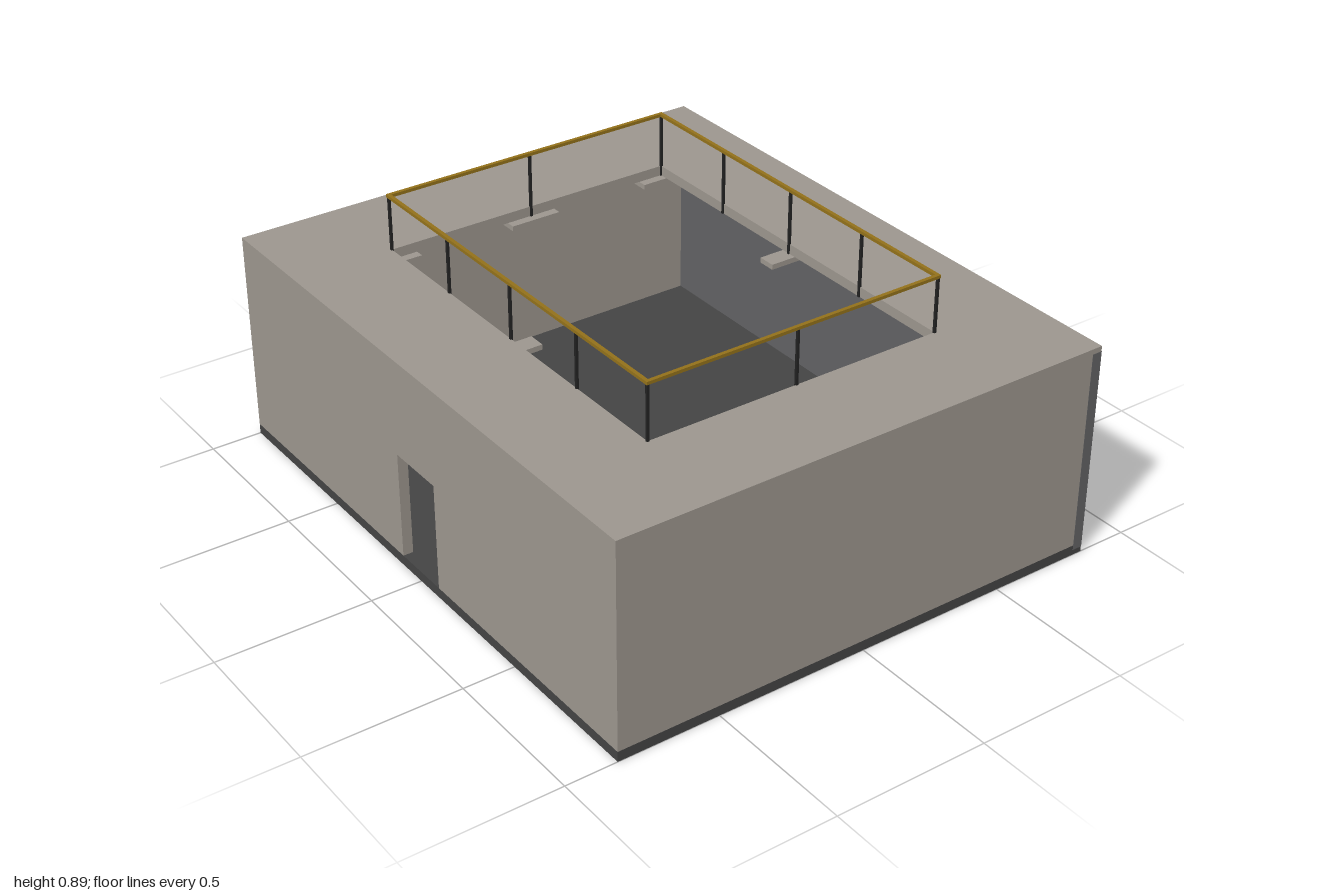
import * as THREE from 'three';

const mat = (name, color, side = THREE.FrontSide) =>
  Object.assign(new THREE.MeshStandardMaterial({ color, side }), { name });

export function createModel() {
  const wall = mat('warm concrete', 0x9c968e);
  const dark = mat('dark wall', 0x626264);
  const floor = mat('charcoal floor', 0x444444);
  const steel = mat('black steel', 0x222222);
  const brass = mat('brass', 0x93711a);

  const model = new THREE.Group();
  model.name = 'mezzanineRoom';

  // Box given by its minimum and maximum corners
  const box = (name, material, [x0, y0, z0], [x1, y1, z1], parent = model) => {
    const mesh = new THREE.Mesh(new THREE.BoxGeometry(x1 - x0, y1 - y0, z1 - z0), material);
    mesh.position.set((x0 + x1) / 2, (y0 + y1) / 2, (z0 + z1) / 2);
    mesh.name = name;
    parent.add(mesh);
    return mesh;
  };

  const X = 1, Z = 0.833, T = 0.033;      // outer half sizes, wall thickness
  const HX = 0.667, HZ = 0.5;             // half sizes of the opening
  const deckLow = 0.667, deckTop = 0.7;

  // Floor slab
  box('floorSlab', floor, [-X, 0, -Z], [X, T, Z]);

  // Front wall with a doorway
  const s = new THREE.Shape();
  [[-X, T], [-0.1, T], [-0.1, 0.383], [0.1, 0.383], [0.1, T], [X, T], [X, deckLow], [-X, deckLow]]
    .forEach(([x, y], i) => (i ? s.lineTo(x, y) : s.moveTo(x, y)));
  const front = new THREE.Mesh(new THREE.ExtrudeGeometry(s, { depth: T, bevelEnabled: false }), wall);
  front.position.z = Z - T;
  front.name = 'frontWall';
  model.add(front);

  // Back wall stands very slightly proud of the slabs
  const e = 0.0006;
  box('backWall', dark, [-X - e, 0.017, -Z - e], [X + e, 0.683, -Z + T]);

  // Side walls
  box('rightWall', wall, [-X, T, -Z + T], [-X + T, deckLow, Z - T]);
  box('leftWall', wall, [X - T, T, -Z + T], [X, deckLow, Z - T]);

  // Mezzanine deck around the opening
  const deck = new THREE.Group();
  deck.name = 'mezzanineDeck';
  model.add(deck);
  box('deckRight', wall, [-X, deckLow, -Z], [-HX, deckTop, Z], deck);
  box('deckLeft', wall, [HX, deckLow, -Z], [X, deckTop, Z], deck);
  box('deckBack', wall, [-HX, deckLow, -Z], [HX, deckTop, -HZ], deck);
  box('deckFront', wall, [-HX, deckLow, HZ], [HX, deckTop, Z], deck);

  // Thin plates under the edge of the deck
  for (const x of [-HX, 0, HX]) for (const z of [-HZ, 0, HZ]) {
    if (x === 0 && z === 0) continue;
    box('deckPlate', wall, [x - 0.029, 0.65, z - 0.086], [x + 0.029, deckLow, z + 0.086]);
  }

  // Railing: posts and top rails
  const railing = new THREE.Group();
  railing.name = 'railing';
  model.add(railing);
  const r = 0.004, railY = 0.876, railTop = 0.886;
  const post = (x, z) => box('railPost', steel, [x - r, deckTop - T, z - r], [x + r, railY, z + r], railing);
  for (const z of [-HZ, HZ]) {
    for (let i = -2; i <= 2; i++) post((i * HX) / 2, z);
    box('topRailLong', brass, [-HX - 0.006, railY, z - 0.006], [HX + 0.006, railTop, z + 0.006], railing);
  }
  for (const x of [-HX, HX]) {
    post(x, 0);
    box('topRailShort', brass, [x - 0.006, railY, -HZ + 0.006], [x + 0.006, railTop, HZ - 0.006], railing);
  }
  return model;
}
